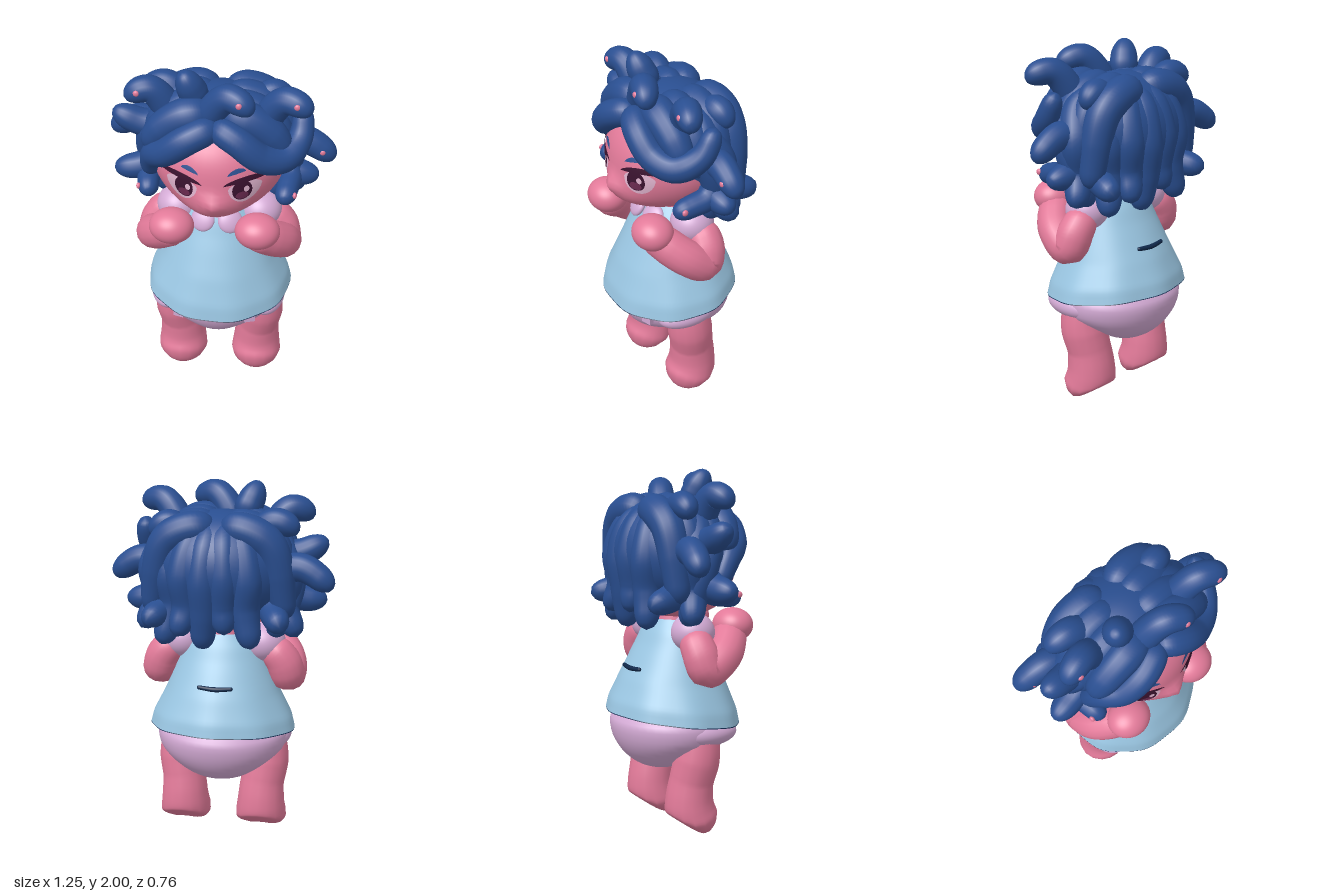
import * as THREE from 'three';
import { mergeVertices } from 'three/addons/utils/BufferGeometryUtils.js';

const V = (x, y, z) => new THREE.Vector3(x, y, z);
const mat = (name, color, side = THREE.FrontSide) => {
  const m = new THREE.MeshStandardMaterial({ color, side });
  m.name = name;
  return m;
};

// Weld seams and give smooth normals
function smooth(geo) {
  geo.deleteAttribute('uv');
  geo.deleteAttribute('normal');
  const g = mergeVertices(geo, 1e-5);
  g.computeVertexNormals();
  return g;
}

function warp(geo, rule) {
  const p = geo.attributes.position, v = V(0, 0, 0);
  for (let i = 0; i < p.count; i++) {
    rule(v.fromBufferAttribute(p, i), i);
    p.setXYZ(i, v.x, v.y, v.z);
  }
  return geo;
}

const softMax = (a, b, k) => (a + b + Math.hypot(a - b, k)) / 2;
const lerpList = (list, t) => {
  const f = t * (list.length - 1), i = Math.min(Math.floor(f), list.length - 2);
  return THREE.MathUtils.lerp(list[i], list[i + 1], f - i);
};

// Round-ended tube through points, whose radius follows a list; taper lengthens the ends
function limb(points, radii, taper = 1, rule = () => {}) {
  const curve = new THREE.CatmullRomCurve3(points);
  const n = 44, sides = 16, len = curve.getLength();
  const geo = new THREE.TubeGeometry(curve, n, 1, sides, false);
  warp(geo, (v, i) => {
    const t = Math.floor(i / (sides + 1)) / n;
    const c = curve.getPointAt(t), r = lerpList(radii, t);
    const d = Math.min(1, Math.min(t, 1 - t) * len / (r * taper));
    v.sub(c).multiplyScalar(r * Math.sqrt(Math.max(0, 1 - (1 - d) ** 2))).add(c);
    rule(v);
  });
  return smooth(geo);
}

// Open flared skin: half-width and depth follow lists upward, hem tilted and gently folded
function skirt(y0, y1, widths, depths) {
  const geo = new THREE.CylinderGeometry(1, 1, 1, 64, 28, true);
  warp(geo, v => {
    const t = 0.5 + v.y, a = Math.atan2(v.z, v.x);
    const y = THREE.MathUtils.lerp(y0, y1, t), w = Math.max(0, (1.2 - y) / 0.57);
    const f = 1 + 0.012 * w * w * Math.cos(9 * a + 1);
    const z = lerpList(depths, t) * f * Math.sin(a) - 0.01;
    v.set(lerpList(widths, t) * f * Math.cos(a), y - 0.12 * w * z, z);
  });
  return smooth(geo);
}

const ball = (x, y, z, rx, ry, rz) =>
  new THREE.SphereGeometry(1, 48, 32).scale(rx, ry, rz).translate(x, y, z);

// Face surface: ellipsoid plus muzzle and nose
const gauss = (x, y, cy, sx, sy) => Math.exp(-((x / sx) ** 2) - ((y - cy) / sy) ** 2);
const bump = (x, y) => 0.085 * gauss(x, y, 1.28, 0.18, 0.115) + 0.038 * gauss(x, y, 1.375, 0.055, 0.042);
const faceZ = (x, y) =>
  0.32 * Math.sqrt(Math.max(0, 1 - (x / 0.36) ** 2 - ((y - 1.48) / 0.29) ** 2)) + bump(x, y);

// Thin patch on the face between two arcs from inner to outer corner
function patch(x0, y0, x1, y1, rise, drop, s, lift) {
  const geo = new THREE.PlaneGeometry(1, 1, 24, 8);
  warp(geo, v => {
    const t = v.x + 0.5, arc = Math.sin(Math.PI * t) ** 0.6;
    const x = THREE.MathUtils.lerp(x0, x1, t);
    const y = THREE.MathUtils.lerp(y0, y1, t) + arc * THREE.MathUtils.lerp(drop, rise, v.y + 0.5);
    v.set(s * x, y, faceZ(x, y) + lift);
  });
  geo.computeVertexNormals();
  return geo;
}

function spot(x, y, rx, ry, s, lift) {
  const geo = new THREE.RingGeometry(0.001, 1, 28, 4);
  warp(geo, v => {
    const px = x + v.x * rx, py = y + v.y * ry;
    v.set(s * px, py, faceZ(px, py) + lift);
  });
  geo.computeVertexNormals();
  return geo;
}

export function createModel() {
  const D = THREE.DoubleSide;
  const skin = mat('pink skin', 0xe27a99), hair = mat('blue hair', 0x294e90);
  const dress = mat('light blue cloth', 0x9ac6e2, D), lining = mat('navy lining', 0x10284a, D);
  const lilac = mat('lilac cloth', 0xd3aad4), plum = mat('dark plum', 0x3a122f, D);
  const white = mat('eye white', 0xe0b4ce, D), iris = mat('iris', 0x6b2a50, D);
  const brow = mat('brow blue', 0x2b4f8f, D);
  const root = new THREE.Group();
  const add = (name, geo, m) => {
    const mesh = new THREE.Mesh(geo, m);
    mesh.name = name;
    root.add(mesh);
    return mesh;
  };

  // Head and neck
  const head = ball(0, 1.48, 0, 0.36, 0.29, 0.32);
  warp(head, v => { if (v.z > 0) v.z += bump(v.x, v.y) * Math.min(1, v.z / 0.1); });
  add('head', smooth(head), skin);
  add('neck', new THREE.CylinderGeometry(0.1, 0.13, 0.14, 32).translate(0, 1.19, 0.01), skin);

  // Dress with dark hem lip and lining, and a back slit
  add('dress', skirt(0.63, 1.19, [0.412, 0.395, 0.36, 0.325, 0.297, 0.268, 0.24, 0.21, 0.15],
    [0.368, 0.354, 0.325, 0.297, 0.262, 0.228, 0.192, 0.16, 0.12]), dress);
  add('dressLining', skirt(0.625, 0.78, [0.412, 0.37, 0.35, 0.33], [0.368, 0.326, 0.315, 0.295]), lining);
  add('backSlit', limb([V(-0.1, 0.925, -0.264), V(0, 0.92, -0.276), V(0.1, 0.925, -0.264)],
    [0.011, 0.014, 0.011]), lining);

  // Bloomers, narrowed between the legs and tucked in under the hem
  const bloomers = ball(0, 0.6, -0.025, 0.37, 0.29, 0.333);
  warp(bloomers, v => {
    const k = 1 - THREE.MathUtils.smoothstep(v.y, 0.34, 0.54);
    const back = THREE.MathUtils.clamp((-0.05 - v.z) / 0.15, 0, 1);
    const tuck = 1 - 0.18 * THREE.MathUtils.smoothstep(v.y, 0.61, 0.72);
    v.x *= (1 - k * (0.38 - 0.24 * back)) * tuck;
    v.z *= tuck;
    v.y = softMax(v.y, 0.335, 0.03);
  });
  add('bloomers', smooth(bloomers), lilac);

  for (const s of [1, -1]) {
    const side = s > 0 ? 'left' : 'right';
    // Leg with rounded, slanted sole
    add(side + 'Leg', limb([V(s * 0.23, 0.66, 0.02), V(s * 0.25, 0.46, 0.01), V(s * 0.23, 0.29, -0.02),
      V(s * 0.225, 0.15, -0.025), V(s * 0.225, -0.03, 0.03)], [0.11, 0.12, 0.13, 0.125, 0.135, 0.15, 0.148], 1,
      v => { v.y = Math.max(0, softMax(v.y, (0.01 - v.z) * 0.75, 0.05) - 0.012); }), skin);
    add(side + 'LegCuff', ball(s * 0.275, 0.575, 0.045, 0.112, 0.078, 0.19), lilac);
    const tab = add(side + 'Tab', new THREE.BoxGeometry(0.06, 0.05, 0.03), lilac);
    tab.position.set(s * 0.2, 0.56, 0.262);
    tab.rotation.y = s * 0.3;

    // Bent arm with round hand, sleeve and pointed collar flap
    add(side + 'Arm', limb([V(s * 0.25, 1.14, -0.03), V(s * 0.34, 1.03, -0.03), V(s * 0.365, 0.945, 0),
      V(s * 0.35, 1.01, 0.11), V(s * 0.19, 1.155, 0.265)], [0.085, 0.1, 0.1, 0.1, 0.09]), skin);
    add(side + 'Hand', ball(s * 0.232, 1.155, 0.245, 0.122, 0.095, 0.11), skin);
    add(side + 'Sleeve', ball(s * 0.23, 1.13, -0.01, 0.12, 0.11, 0.12), lilac);
    const collar = add(side + 'Collar', ball(0, 0, 0, 0.068, 0.068, 0.03), lilac);
    collar.position.set(s * 0.075, 1.135, 0.142);
    collar.rotation.set(-0.55, s * 0.25, 0);

    // Eye layers
    add(side + 'EyeWhite', patch(0.08, 1.455, 0.25, 1.47, 0.04, -0.09, s, 0.003), white);
    add(side + 'Iris', spot(0.152, 1.448, 0.05, 0.058, s, 0.005), plum);
    add(side + 'IrisGlow', spot(0.152, 1.418, 0.032, 0.022, s, 0.0065), iris);
    add(side + 'Highlight', spot(0.152 + s * 0.022, 1.455, 0.014, 0.018, s, 0.008), white);
    add(side + 'Lash', patch(0.055, 1.478, 0.295, 1.505, 0.036, 0.004, s, 0.007), plum);
    add(side + 'Brow', patch(0.075, 1.533, 0.168, 1.555, 0.026, 0, s, 0.005), brow);
  }

  // Hair cap
  const capCentre = V(0, 1.55, -0.05);
  add('hairCap', ball(0, 1.55, -0.05, 0.39, 0.315, 0.31), hair);

  // Two fringe locks swept from the parting, one curling up
  const fringe = [0.075, 0.078, 0.074, 0.05];
  add('leftFringe', limb([V(-0.02, 1.77, 0.2), V(0.12, 1.71, 0.255), V(0.24, 1.61, 0.24),
    V(0.35, 1.58, 0.18), V(0.43, 1.65, 0.08), V(0.44, 1.8, 0)], fringe, 1.4), hair);
  add('rightFringe', limb([V(0.02, 1.77, 0.2), V(-0.14, 1.7, 0.255), V(-0.25, 1.61, 0.23),
    V(-0.33, 1.54, 0.15), V(-0.37, 1.38, 0.06)], fringe, 1.4), hair);

  // Serpent lock growing out of the cap to a tip, arched by a lift, with an optional eye dot
  const body = [0.085, 0.08, 0.072, 0.06];
  const serpent = (x, y, z, lift, eyeDir, shift = 0) => {
    const tip = V(x, y, z);
    const base = tip.clone().sub(capCentre).setLength(0.27).add(capCentre);
    base.x += shift;
    const mid = base.clone().lerp(tip, 0.5);
    mid.y += lift;
    const path = [base, mid, tip];
    add('serpentLock', limb(path, body, 1.4), hair);
    if (!eyeDir) return;
    const p = new THREE.CatmullRomCurve3(path).getPointAt(0.78).addScaledVector(eyeDir, 0.06);
    add('serpentEye', ball(p.x, p.y, p.z, 0.017, 0.017, 0.012), skin);
  };
  const front = V(0, 0.2, 0.98);
  serpent(0.2, 1.88, 0.25, 0.11, front, -0.18);
  serpent(0.49, 1.86, 0.18, 0.11, front);
  serpent(-0.49, 1.83, 0.07, 0.11, front);
  serpent(-0.18, 2, 0.1, 0);
  serpent(-0.43, 1.78, -0.14, 0.09, null, 0.08);
  serpent(0.38, 1.74, -0.14, 0.09, null, -0.08);
  serpent(-0.57, 1.71, 0, -0.03);
  serpent(-0.62, 1.49, -0.19, 0.08, front);
  serpent(0.62, 1.48, -0.02, 0.08, front);
  serpent(0.54, 1.35, -0.04, -0.03);
  serpent(-0.57, 1.37, 0.04, -0.03);

  for (const s of [1, -1]) {
    // Cheek locks curling forward, with an outward eye dot
    add('cheekLock', limb([V(s * 0.36, 1.5, -0.08), V(s * 0.385, 1.37, 0), V(s * 0.375, 1.34, 0.1),
      V(s * 0.36, 1.32, 0.2)], [0.07, 0.065, 0.055], 1.3), hair);
    add('cheekLockEye', ball(s * 0.418, 1.345, 0.165, 0.012, 0.017, 0.017), skin);
    // Side locks behind the cheeks
    add('sideLock', limb([V(s * 0.33, 1.68, 0.04), V(s * 0.38, 1.5, -0.03), V(s * 0.35, 1.33, -0.07),
      V(s * 0.28, 1.18, -0.08)], body, 1.3), hair);
    // Strands running from the parting over the crown and down the sides
    for (const z of [0.14, 0.03, -0.09, -0.19]) {
      add('crownStrand', limb([V(s * 0.01, 1.775, z * 0.8), V(s * 0.15, 1.78, z), V(s * 0.28, 1.7, z),
        V(s * 0.37, 1.57 - (0.14 - z) * 0.8, z * 0.9)], [0.09, 0.095, 0.085, 0.06], 1.3), hair);
    }
  }

  // Locks hanging down the back, their uneven tips flaring out
  [[-0.43, 1.2, -0.13], [-0.36, 1.3, -0.34], [-0.2, 1.16, -0.28], [-0.06, 1.24, -0.31], [0.07, 1.14, -0.25],
    [0.2, 1.22, -0.31], [0.36, 1.3, -0.34], [0.3, 1.15, -0.24], [0.44, 1.21, -0.14]].forEach(([x, y, z]) => {
    const k = Math.abs(x), mid = -0.285 + 0.9 * Math.max(0, k - 0.15) ** 1.2;
    add('backLock', limb([V(x * 0.25, 1.78, -0.1), V(x * 0.65, 1.7, mid + 0.06), V(x * 0.85, 1.54, mid),
      V(x * 0.8, 1.37, mid + 0.01), V(x, y, z)], [0.08, 0.09, 0.088, 0.078, 0.06], 1.3), hair);
  });
  return root;
}
